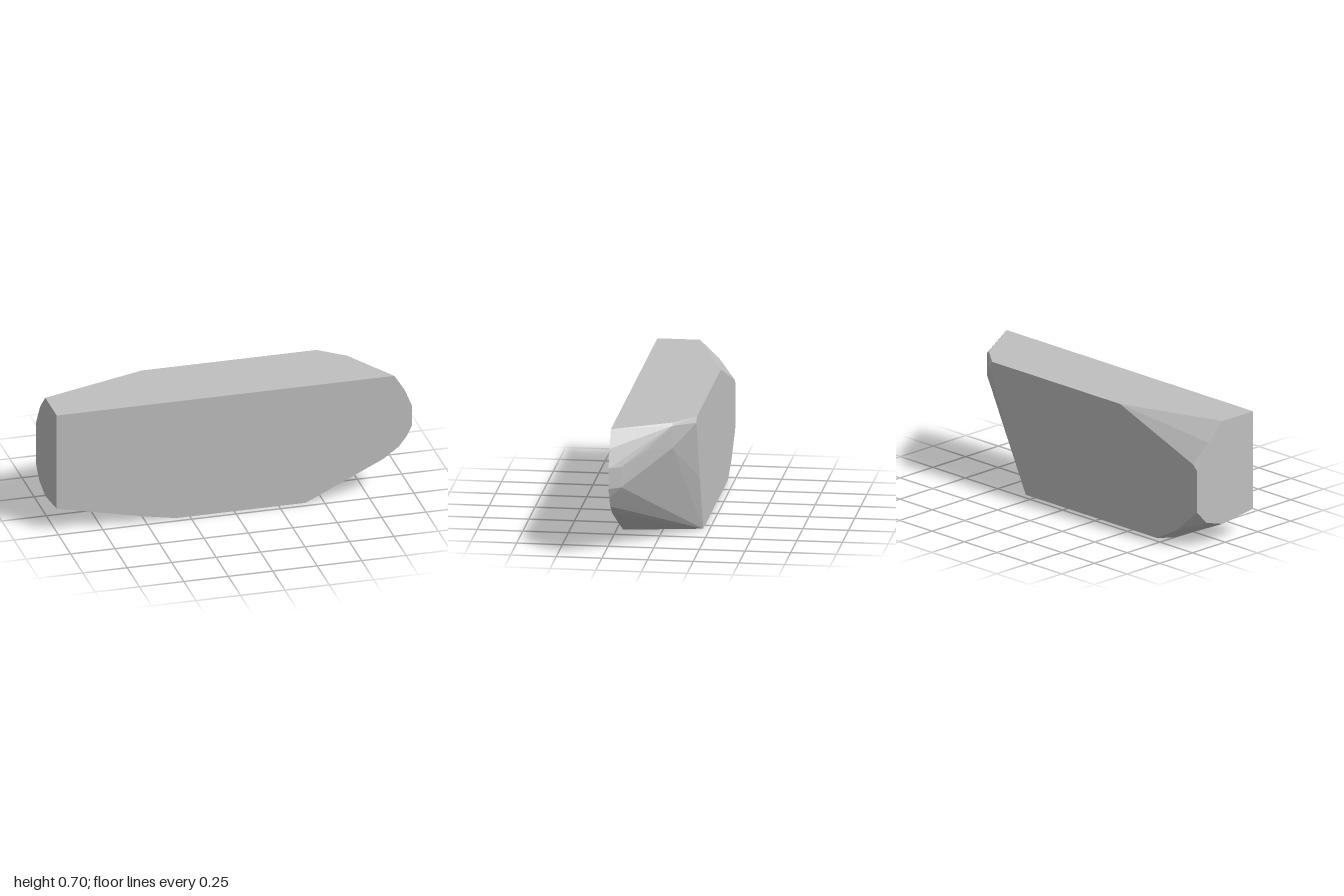
import * as THREE from 'three';
import { ConvexGeometry } from 'three/addons/geometries/ConvexGeometry.js';

// A slab with bevelled ends, built as the hull of its outlines.
export function createModel() {
  const group = new THREE.Group();
  group.name = 'bevelledSlab';
  const stone = new THREE.MeshStandardMaterial({ color: 0xc0c0c0 });
  stone.name = 'stone grey';

  const H = 0.7, D = 0.214;
  const points = [];
  const outline = (z, pairs) => pairs.forEach(([x, y]) => points.push(new THREE.Vector3(x, y, z)));

  // Broad front face
  outline(D, [[-1, H], [0.9, H], [0.96, 0.605], [1, 0.505], [1, 0.39], [0.97, 0.33],
    [0.925, 0.272], [0.84, 0.21], [0.4, 0], [-0.33, 0], [-0.52, 0.035], [-1, 0.14]]);

  // Smaller back face
  outline(-D, [[-0.405, H], [0.58, H], [0.6, 0.67], [0.47, 0.33], [0.32, 0],
    [-0.69, 0], [-0.84, 0.08], [-1, 0.22], [-1, 0.46], [-0.97, 0.49]]);

  // Rounded right end between the two faces
  outline(0.15, [[0.957, 0.505], [0.957, 0.39]]);
  outline(0.02, [[0.845, 0.575]]);
  outline(-0.1, [[0.72, H], [0.735, 0.685], [0.735, 0.56]]);

  // Left end: corner cuts above and below
  outline(-0.02, [[-1, H], [-1, 0.11]]);
  outline(-0.125, [[-1, 0.6]]);
  outline(-0.14, [[-1, 0.145], [-0.75, 0]]);

  const slab = new THREE.Mesh(new ConvexGeometry(points), stone);
  slab.name = 'slab';
  group.add(slab);
  return group;
}
